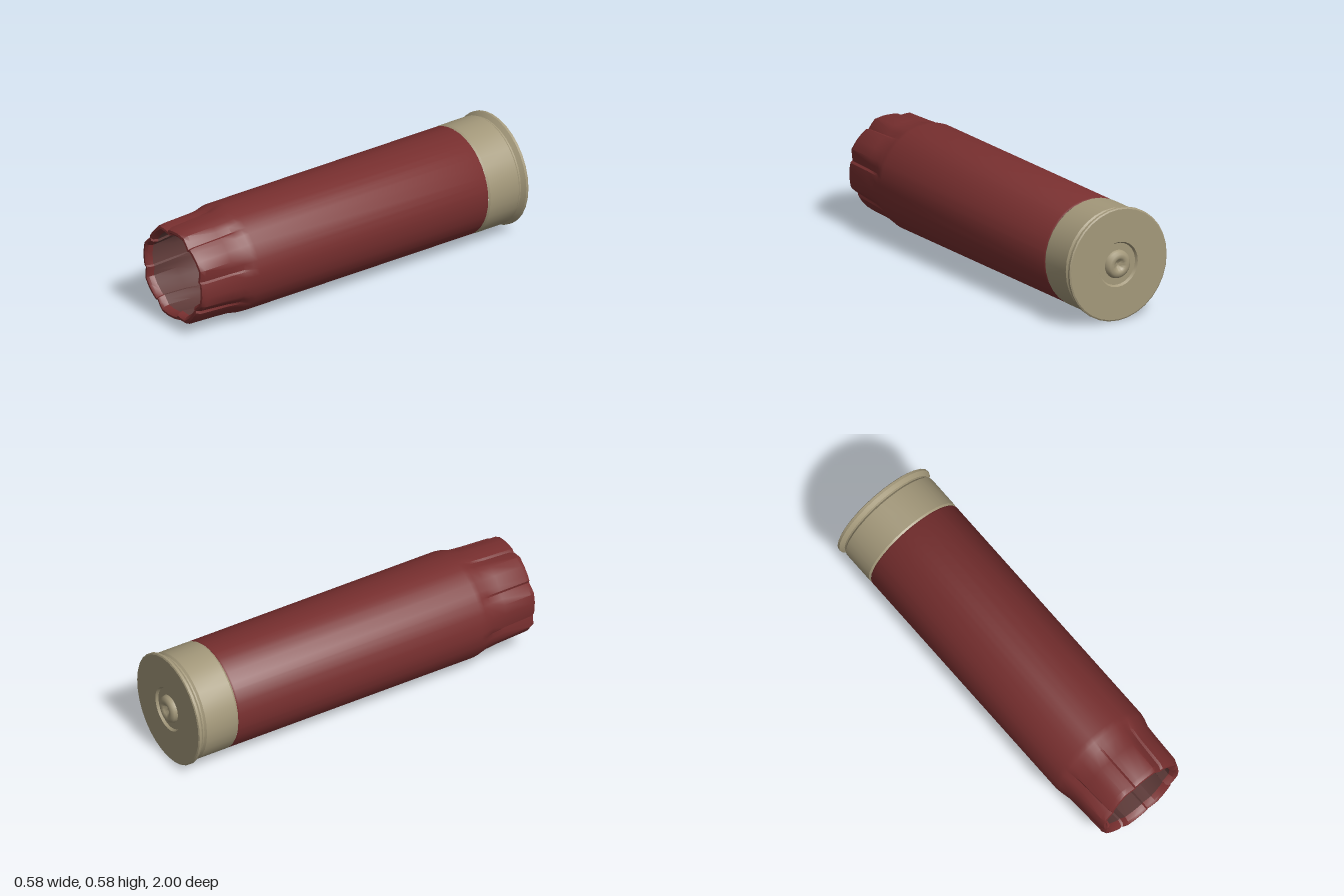
import * as THREE from 'three';
import { toCreasedNormals, mergeVertices } from 'three/addons/utils/BufferGeometryUtils.js';

const AXIS_Y = 0.293;

const material = (name, color) => {
  const m = new THREE.MeshStandardMaterial({ color });
  m.name = name;
  return m;
};

// Folded crimp: eight lobes, each rising from a deep step and sinking to a shallow one
const LOBES = 8;
const STEP_ANGLE = THREE.MathUtils.degToRad(11);
const LOBE_T = [0, 0.15, 0.3, 0.55, 0.8, 0.95];
const dentAt = (t) => (t <= 0.3 ? 1 - t / 0.3 : (0.55 * (t - 0.3)) / 0.65);

// Skin rings of [radius, z, dent depth]; faces point outward when z rises
function crimpedShell(rings) {
  const positions = [];
  const index = [];
  const columns = LOBES * LOBE_T.length;
  for (const [radius, z, dent] of rings) {
    for (let lobe = 0; lobe < LOBES; lobe++) {
      for (const t of LOBE_T) {
        const angle = STEP_ANGLE + ((lobe + t) / LOBES) * Math.PI * 2;
        const r = radius - dent * dentAt(t);
        positions.push(r * Math.cos(angle), r * Math.sin(angle), z);
      }
    }
  }
  for (let k = 0; k < rings.length - 1; k++) {
    for (let i = 0; i < columns; i++) {
      const j = (i + 1) % columns;
      const a = k * columns + i, b = k * columns + j;
      const c = b + columns, d = a + columns;
      index.push(a, b, c, a, c, d);
    }
  }
  const geometry = new THREE.BufferGeometry();
  geometry.setAttribute('position', new THREE.Float32BufferAttribute(positions, 3));
  geometry.setIndex(index);
  return toCreasedNormals(geometry, 0.6);
}

// Turned part along z from [radius, z] points
function turned(points, crease = 0.5) {
  const geometry = new THREE.LatheGeometry(points.map(([r, z]) => new THREE.Vector2(r, z)), 32);
  geometry.rotateX(Math.PI / 2);
  geometry.deleteAttribute('uv');
  geometry.deleteAttribute('normal');
  return toCreasedNormals(mergeVertices(geometry, 1e-5), crease);
}

export function createModel() {
  const red = material('red plastic', 0x782f2f);
  const lining = material('dull lining', 0x5f3b39);
  const brass = material('brass', 0xa3987a);

  const model = new THREE.Group();
  model.name = 'spentCartridge';
  const add = (name, geometry, mat) => {
    const mesh = new THREE.Mesh(geometry, mat);
    mesh.name = name;
    mesh.position.y = AXIS_Y;
    model.add(mesh);
  };

  // Plastic tube, tapering into the opened crimp and rolled over the lip
  add('tube', crimpedShell([
    [0.274, -0.746, 0],
    [0.279, -0.738, 0],
    [0.279, 0.67, 0],
    [0.276, 0.7, 0.003],
    [0.267, 0.745, 0.012],
    [0.263, 0.82, 0.018],
    [0.258, 0.975, 0.024],
    [0.248, 0.998, 0.024],
    [0.236, 1.0, 0.024],
    [0.224, 0.99, 0.022],
    [0.216, 0.965, 0.02],
  ]), red);

  // Inner wall, widening behind the crimp
  add('innerWall', crimpedShell([
    [0.216, 0.965, 0.02],
    [0.225, 0.82, 0.015],
    [0.24, 0.67, 0],
    [0.24, -0.6, 0],
  ]), lining);

  // Floor of the bore
  const floor = new THREE.CircleGeometry(0.241, 32);
  floor.translate(0, 0, -0.6);
  add('boreFloor', floor, lining);

  // Brass head with a projecting rim and a recess for the primer
  add('head', turned([
    [0.07, -0.972],
    [0.108, -0.972],
    [0.116, -0.985],
    [0.285, -0.985],
    [0.292, -0.981],
    [0.292, -0.968],
    [0.272, -0.95],
    [0.272, -0.942],
    [0.28, -0.932],
    [0.28, -0.756],
    [0.274, -0.746],
  ]), brass);

  // Domed primer struck in the middle
  add('primer', turned([
    [0, -0.978],
    [0.014, -0.981],
    [0.028, -0.994],
    [0.038, -1.0],
    [0.055, -0.998],
    [0.068, -0.988],
    [0.073, -0.97],
  ], 0.9), brass);

  return model;
}
